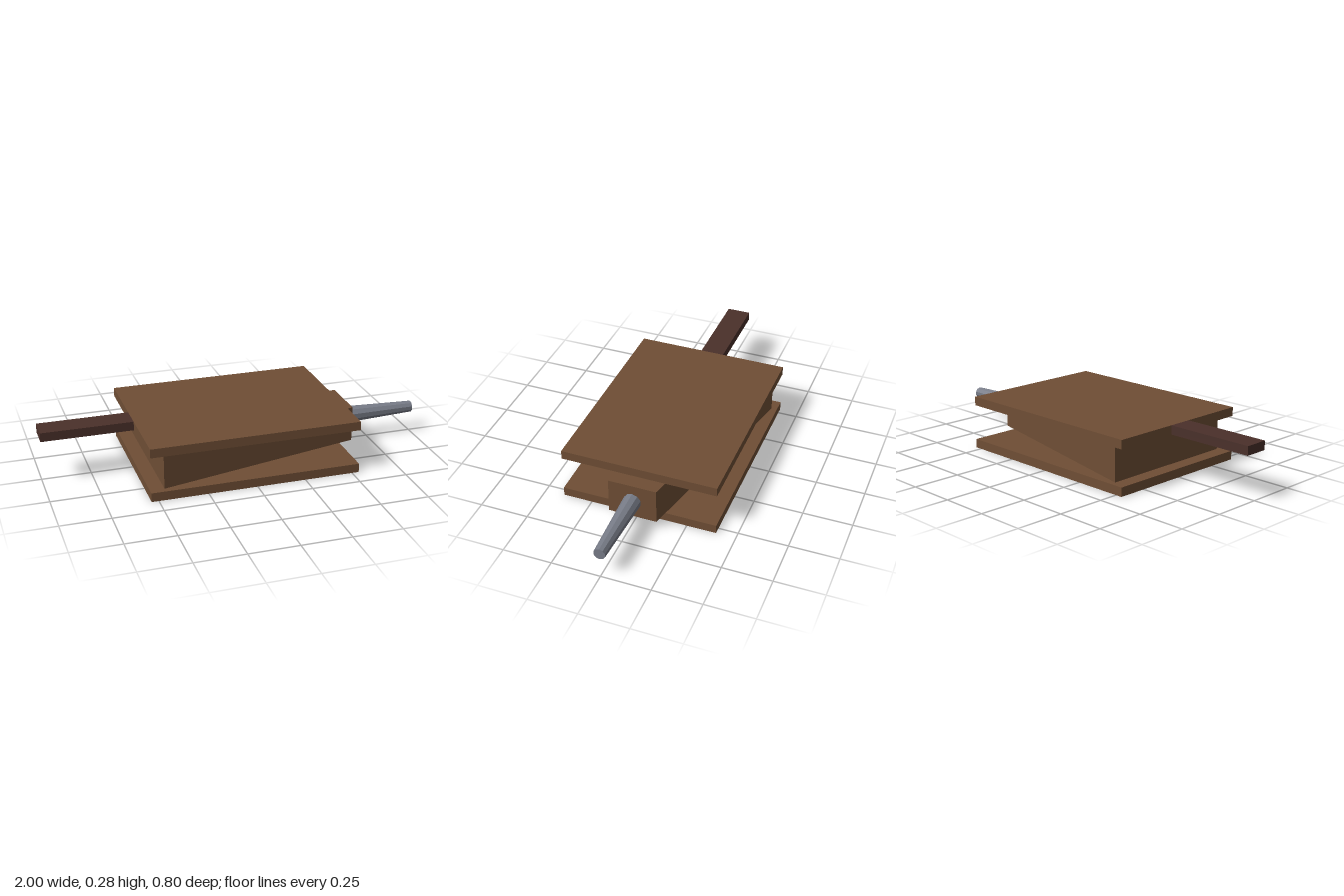
import * as THREE from 'three';

const material = (name, color) => {
  const m = new THREE.MeshStandardMaterial({ color });
  m.name = name;
  return m;
};

export function createModel() {
  const model = new THREE.Group();
  model.name = 'bellows';
  const wood = material('wood brown', 0x6f4e35);
  const darkWood = material('dark wood', 0x4a302a);
  const metal = material('grey metal', 0x787c88);
  wood.flatShading = darkWood.flatShading = metal.flatShading = true;

  const add = (name, geometry, mat, x, y, z) => {
    const mesh = new THREE.Mesh(geometry, mat);
    mesh.name = name;
    mesh.position.set(x, y, z);
    model.add(mesh);
    return mesh;
  };

  // Two flat boards
  const board = new THREE.BoxGeometry(1.072, 0.046, 0.8);
  add('bottomBoard', board, wood, 0, 0.023, 0);
  add('topBoard', board, wood, 0, 0.254, 0);

  // Air chamber, tapering towards the nozzle
  const chamber = new THREE.BoxGeometry(1.074, 0.185, 0.74);
  const p = chamber.attributes.position;
  for (let i = 0; i < p.count; i++) {
    if (p.getX(i) > 0) p.setZ(i, Math.sign(p.getZ(i)) * 0.123);
  }
  chamber.computeVertexNormals();
  add('airChamber', chamber, wood, 0.073, 0.1385, 0);

  // Handle behind the top board
  add('handle', new THREE.BoxGeometry(0.464, 0.046, 0.123), darkWood, -0.768, 0.254, 0);

  // Ten-sided tapered nozzle
  const nozzle = new THREE.CylinderGeometry(0.03, 0.045, 0.39, 10, 1, false, Math.PI / 2);
  nozzle.rotateZ(-Math.PI / 2);
  add('nozzle', nozzle, metal, 0.805, 0.1385, 0);

  return model;
}
